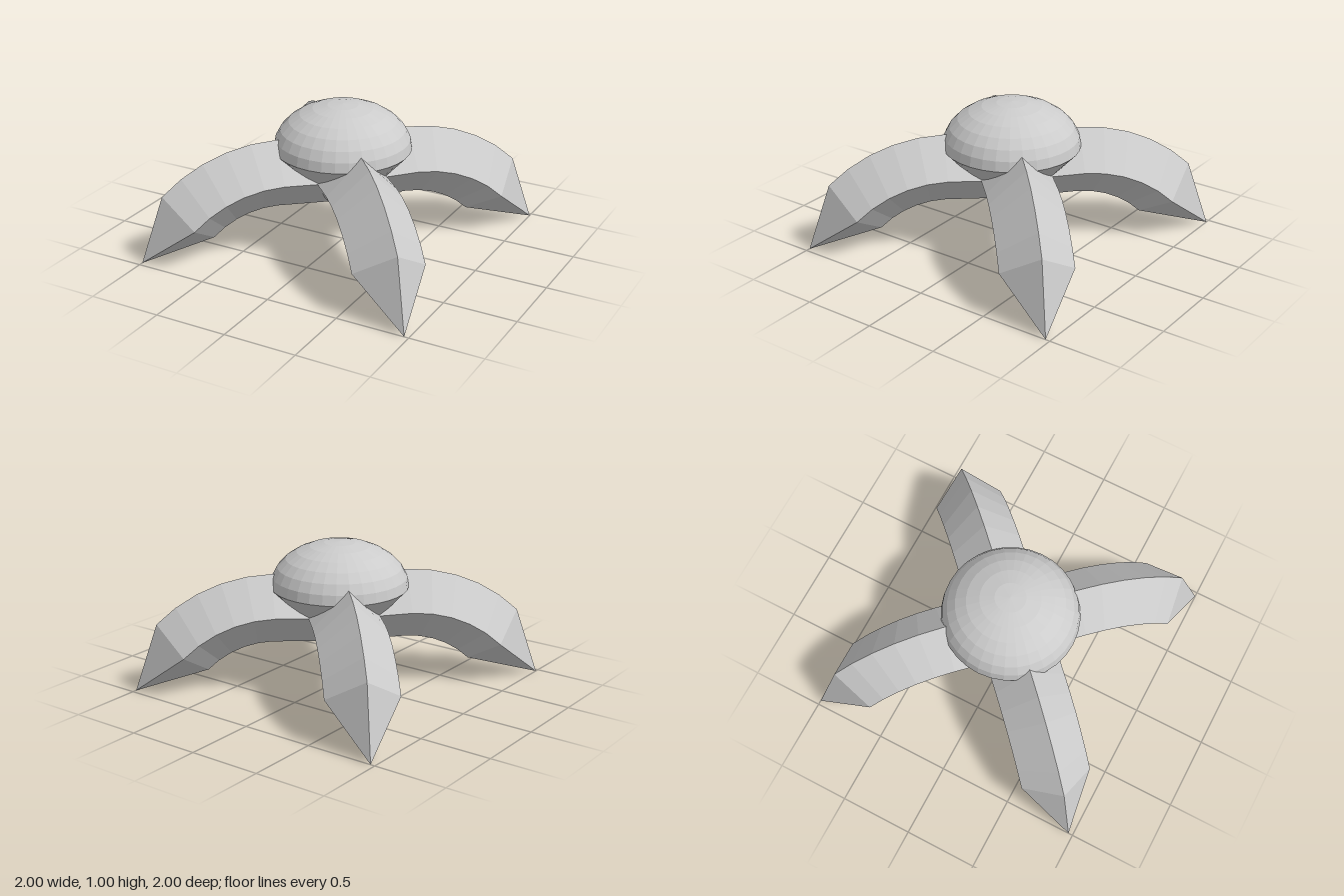
import * as THREE from 'three';

const material = new THREE.MeshStandardMaterial({ color: 0xcccccc, flatShading: true });

// Arched leg along +x: a square section on edge, swept level then round an arc, ending in a point.
function legGeometry() {
  const half = 0.239, peak = 0.46, radius = 0.86, crown = 0.548, steps = 5;
  const pos = [], index = [];
  const ring = (x, y, a) => {
    const nx = Math.sin(a) * half, ny = Math.cos(a) * half;
    pos.push(x + nx, y + ny, 0, x, y, half, x - nx, y - ny, 0, x, y, -half);
  };
  ring(0, 0.53, 0);
  for (let i = 0; i <= steps; i++) {
    const a = (i / steps) * Math.PI / 4;
    ring(peak + radius * Math.sin(a), crown - radius * (1 - Math.cos(a)), a);
  }
  const rings = steps + 2, tip = rings * 4;
  pos.push(1.393, 0, 0);
  for (let i = 0; i < rings; i++) {
    for (let k = 0; k < 4; k++) {
      const a = i * 4 + k, b = i * 4 + (k + 1) % 4;
      if (i === rings - 1) index.push(a, b, tip);
      else index.push(a, b, a + 4, b, b + 4, a + 4);
    }
  }
  // inner end cap
  index.push(0, 2, 1, 0, 3, 2);
  const g = new THREE.BufferGeometry();
  g.setAttribute('position', new THREE.Float32BufferAttribute(pos, 3));
  g.setIndex(index);
  const flat = g.toNonIndexed();
  flat.computeVertexNormals();
  return flat;
}

export function createModel() {
  const group = new THREE.Group();

  // Body: cone below, flattened dome above
  const profile = [new THREE.Vector2(0, 0.19)];
  const bands = 7;
  for (let i = 0; i <= bands; i++) {
    const a = (i / bands) * Math.PI / 2;
    profile.push(new THREE.Vector2(i === bands ? 0 : 0.467 * Math.cos(a), 0.69 + 0.31 * Math.sin(a)));
  }
  const body = new THREE.Mesh(new THREE.LatheGeometry(profile, 32), material);
  body.name = 'body';
  group.add(body);

  // Four legs at quarter turns
  const geometry = legGeometry();
  const names = ['frontLeftLeg', 'frontRightLeg', 'backRightLeg', 'backLeftLeg'];
  names.forEach((name, i) => {
    const leg = new THREE.Mesh(geometry, material);
    leg.name = name;
    leg.rotation.y = -(Math.atan2(1, 0.97) + i * Math.PI / 2);
    group.add(leg);
  });
  return group;
}
